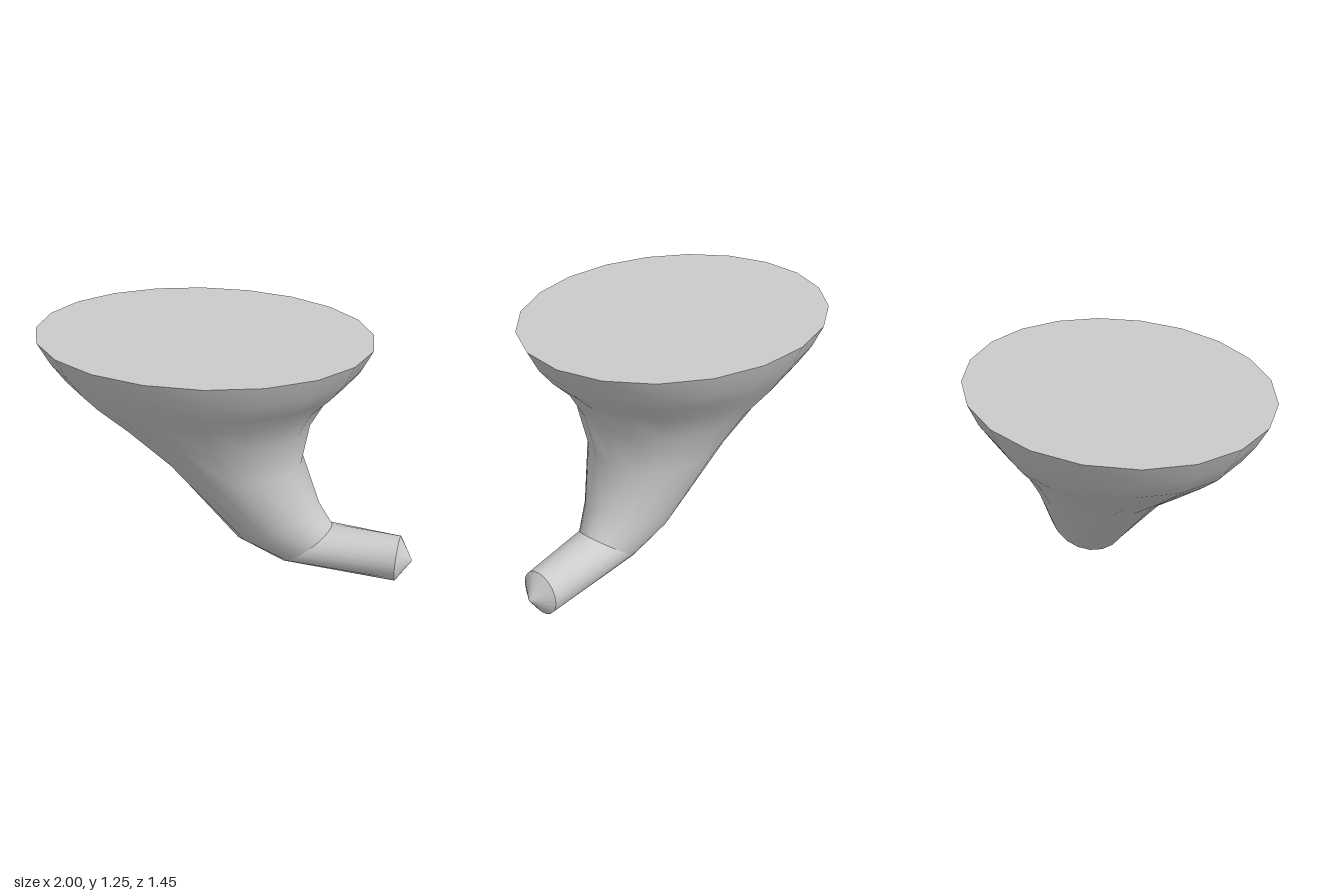
import * as THREE from 'three';

const SIDES = 20;

// Skin a row of elliptical rings. Each ring is [x1, y1, x2, y2, halfDepth]:
// its two ends in the x-y plane and its half width along z.
function loft(name, rings, flatShading = false) {
  const positions = [];
  const index = [];
  rings.forEach(([x1, y1, x2, y2, depth], i) => {
    for (let j = 0; j < SIDES; j++) {
      const angle = (j / SIDES) * Math.PI * 2;
      const t = (1 + Math.cos(angle)) / 2;
      positions.push(x1 + (x2 - x1) * t, y1 + (y2 - y1) * t, Math.sin(angle) * depth);
      if (i === rings.length - 1) continue;
      const a = i * SIDES + j;
      const b = i * SIDES + ((j + 1) % SIDES);
      index.push(a, b, a + SIDES, b, b + SIDES, a + SIDES);
    }
  });
  const geometry = new THREE.BufferGeometry();
  geometry.setAttribute('position', new THREE.Float32BufferAttribute(positions, 3));
  geometry.setIndex(index);
  geometry.computeVertexNormals();
  const mesh = new THREE.Mesh(geometry, new THREE.MeshStandardMaterial({ color: 0xcccccc, flatShading }));
  mesh.name = name;
  return mesh;
}

export function createModel() {
  const group = new THREE.Group();
  group.name = 'funnel';

  const rim = [-1, 1.25, 0.715, 1.25, 0.725];
  const bend = [0.31, 0.015, 0.565, 0.245, 0.147];
  const spoutEnd = [0.925, 0.005, 0.925, 0.253, 0.105];

  // Flat lid closing the mouth
  group.add(loft('lid', [[-0.14, 1.25, -0.14, 1.25, 0], rim], true));

  // Flared bowl leaning over and narrowing into the bend
  group.add(loft('bowl', [
    rim,
    [-0.94, 1.14, 0.66, 1.14, 0.68],
    [-0.87, 1.04, 0.59, 1.05, 0.62],
    [-0.78, 0.96, 0.5, 0.96, 0.565],
    [-0.61, 0.82, 0.425, 0.82, 0.463],
    [-0.37, 0.63, 0.385, 0.59, 0.36],
    [0.05, 0.14, 0.49, 0.345, 0.217],
    bend,
  ]));

  // Sideways spout, mitred at the bend
  group.add(loft('spout', [bend, spoutEnd]));

  // Shallow cone at the end of the spout
  group.add(loft('spoutTip', [spoutEnd, [1, 0.13, 1, 0.13, 0]], true));

  return group;
}
